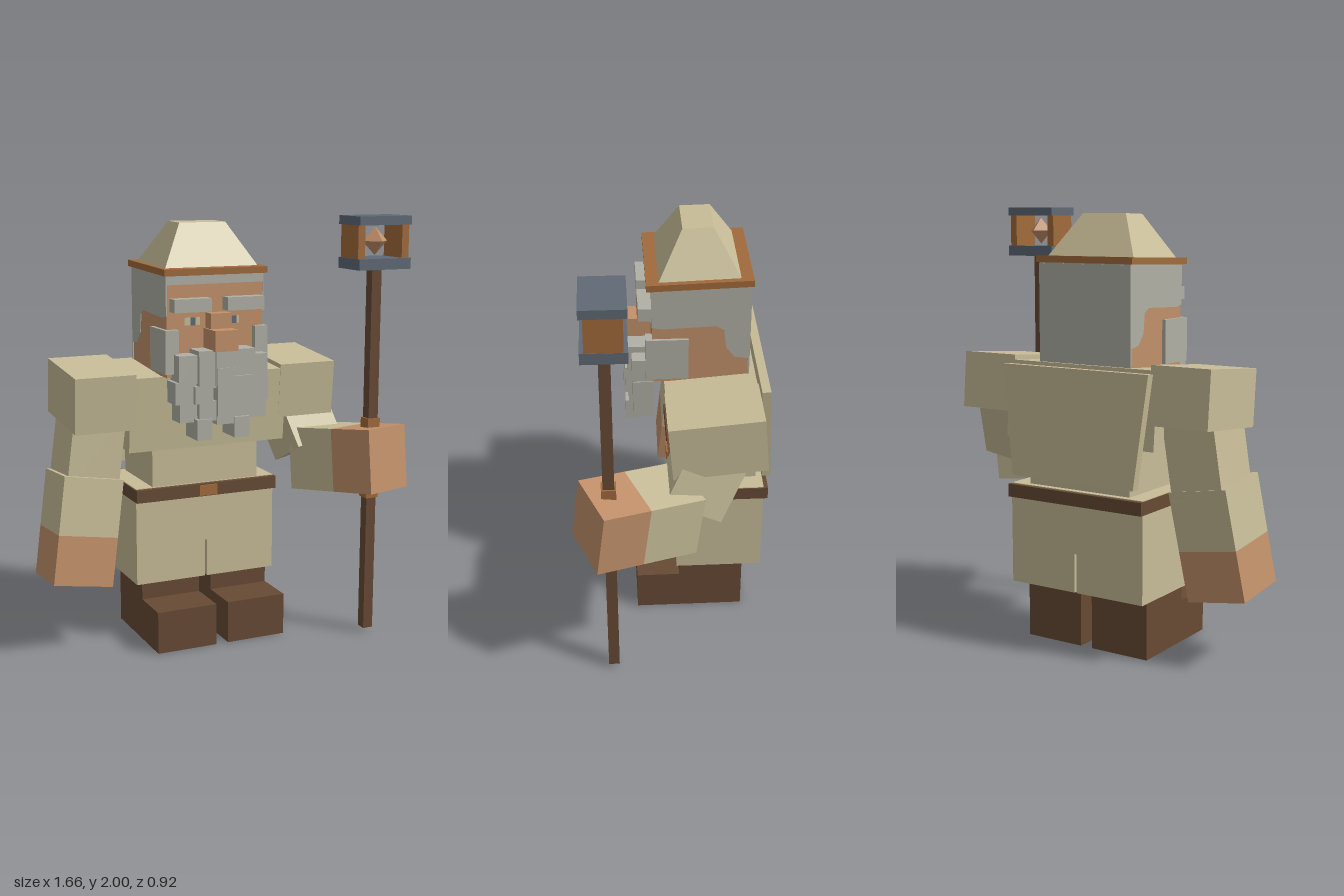
import * as THREE from 'three';

const CX = -0.055; // body's plane of symmetry

export function createModel() {
  const mat = (name, color) => {
    const m = new THREE.MeshStandardMaterial({ color });
    m.name = name;
    return m;
  };
  const cloth = mat('cream cloth', 0xc8bd98);
  const skin = mat('skin', 0xc2916a);
  const hair = mat('grey hair', 0xb0b0a6);
  const leather = mat('dark leather', 0x674a34);
  const copper = mat('orange wood', 0xa26b3c);
  const slate = mat('slate metal', 0x5f6975);

  const model = new THREE.Group();
  model.name = 'staffBearer';

  const add = (name, geo, material, x = 0, y = 0, z = 0, rx = 0) => {
    const m = new THREE.Mesh(geo, material);
    m.name = name;
    m.position.set(x, y, z);
    m.rotation.x = rx;
    model.add(m);
    return m;
  };
  // box from its limits
  const span = (name, material, x0, x1, y0, y1, z0, z1, rx = 0) =>
    add(name, new THREE.BoxGeometry(x1 - x0, y1 - y0, z1 - z0), material,
      (x0 + x1) / 2, (y0 + y1) / 2, (z0 + z1) / 2, rx);
  // box whose top and bottom faces have different sizes
  const frustum = (w0, d0, w1, d1, h) => {
    const g = new THREE.BoxGeometry(1, h, 1).toNonIndexed();
    const p = g.attributes.position;
    for (let i = 0; i < p.count; i++) {
      const top = p.getY(i) > 0;
      p.setX(i, p.getX(i) * (top ? w1 : w0));
      p.setZ(i, p.getZ(i) * (top ? d1 : d0));
    }
    g.computeVertexNormals();
    return g;
  };
  // box running from point a to point b
  const limb = (name, material, a, b, w, d) => {
    const axis = new THREE.Vector3().subVectors(a, b);
    const len = axis.length();
    axis.normalize();
    const side = new THREE.Vector3(1, 0, 0).addScaledVector(axis, -axis.x).normalize();
    const front = new THREE.Vector3().crossVectors(side, axis);
    const m = add(name, new THREE.BoxGeometry(w, len, d), material);
    m.quaternion.setFromRotationMatrix(new THREE.Matrix4().makeBasis(side, axis, front));
    m.position.addVectors(a, b).multiplyScalar(0.5);
  };
  const V = (x, y, z) => new THREE.Vector3(x, y, z);

  // boots, trouser legs and shoulders, mirrored about the body's middle
  for (const s of [-1, 1]) {
    const side = s < 0 ? 'right' : 'left';
    const pair = (name, material, inner, outer, ...rest) => {
      const [a, b] = [CX + s * inner, CX + s * outer].sort((p, q) => p - q);
      return span(side + name, material, a, b, ...rest);
    };
    pair('BootFoot', leather, 0.03, 0.325, 0, 0.2, -0.04, 0.165);
    pair('BootShaft', leather, 0.03, 0.325, 0, 0.28, -0.345, -0.04);
    pair('TrouserLeg', cloth, 0.006, 0.355, 0.28, 0.46, -0.43, -0.025);
    pair('Shoulder', cloth, 0.365, 0.655, 1.056, 1.316, -0.393, 0.022, 0.09);
    pair('Sideburn', hair, 0.19, 0.255, 1.3, 1.5, -0.08, 0.11);
    pair('Eyebrow', hair, 0.04, 0.222, 1.58, 1.64, 0.07, 0.14);
  }

  // hips, belt, torso
  span('hips', cloth, -0.41, 0.3, 0.46, 0.748, -0.43, -0.025);
  span('belt', leather, -0.415, 0.305, 0.685, 0.745, -0.45, 0);
  span('buckle', copper, -0.1, -0.01, 0.69, 0.74, -0.01, 0.008);
  span('waist', cloth, -0.325, 0.215, 0.74, 1.0, -0.4, -0.03);
  span('chest', cloth, -0.45, 0.34, 0.945, 1.295, -0.395, 0.015, 0.08);
  add('cape', frustum(0.65, 0.04, 0.77, 0.04, 0.505), cloth, CX, 1.045, -0.43, 0.05);

  // arms: upper arm, then a forearm that ends in a bare hand
  const arm = (side, shoulder, elbow, foreTop, hand) => {
    const cuff = foreTop.clone().lerp(hand, 0.54);
    limb(side + 'UpperArm', cloth, shoulder, elbow, 0.25, 0.27);
    limb(side + 'Forearm', cloth, foreTop, cuff, 0.285, 0.3);
    limb(side + 'Hand', skin, cuff, hand, 0.285, 0.3);
  };
  arm('right', V(-0.562, 1.12, -0.19), V(-0.615, 0.75, -0.18),
    V(-0.612, 0.81, -0.17), V(-0.69, 0.316, -0.125));
  arm('left', V(0.45, 1.13, -0.195), V(0.515, 0.86, -0.065),
    V(0.515, 0.82, -0.055), V(0.7, 0.875, 0.385));

  // head with hair painted on as thin plates
  const hx0 = -0.292, hx1 = 0.186;
  span('head', skin, hx0, hx1, 1.28, 1.75, -0.345, 0.08);
  span('hairTop', hair, hx0 - 0.004, hx1 + 0.004, 1.7, 1.76, -0.349, 0.084);
  span('hairBack', hair, hx0 - 0.004, hx1 + 0.004, 1.28, 1.75, -0.352, -0.344);
  const hairSide = new THREE.Shape([
    [-0.083, 1.75], [-0.083, 1.56], [-0.04, 1.55], [0.2, 1.56], [0.235, 1.54],
    [0.245, 1.45], [0.285, 1.4], [0.35, 1.39], [0.35, 1.75],
  ].map(([x, y]) => new THREE.Vector2(x, y)));
  for (const x of [hx0 - 0.004, hx1 - 0.002]) {
    const m = add('hairSide', new THREE.ExtrudeGeometry(hairSide,
      { depth: 0.006, bevelEnabled: false }), hair, x);
    m.rotation.y = Math.PI / 2;
  }

  // face
  span('noseBridge', skin, -0.1, 0, 1.49, 1.57, 0.07, 0.14);
  span('noseTip', skin, -0.11, 0.005, 1.405, 1.5, 0.07, 0.21);
  for (const [x0, x1, px] of [[-0.205, -0.13, -0.165], [-0.01, 0.065, 0.04]]) {
    span('eyeWhite', cloth, x0, x1, 1.515, 1.55, 0.077, 0.083);
    span('pupil', slate, px - 0.012, px + 0.012, 1.515, 1.55, 0.079, 0.085);
  }

  // beard of overlapping blocks: x0, x1, y0, y1, front z
  [
    [-0.27, -0.17, 1.26, 1.39, 0.17], [-0.18, -0.09, 1.24, 1.41, 0.19],
    [-0.1, -0.005, 1.25, 1.405, 0.2], [-0.015, 0.1, 1.26, 1.41, 0.19],
    [0.08, 0.17, 1.26, 1.38, 0.17],
    [-0.287, -0.185, 1.17, 1.27, 0.17], [-0.2, -0.11, 1.17, 1.25, 0.19],
    [-0.095, -0.01, 1.11, 1.33, 0.205], [-0.01, 0.085, 1.16, 1.29, 0.2],
    [0.075, 0.175, 1.165, 1.27, 0.17],
    [-0.265, -0.18, 1.085, 1.18, 0.165], [-0.18, -0.09, 1.09, 1.18, 0.19],
    [-0.095, -0.01, 1.07, 1.19, 0.195], [-0.01, 0.08, 1.09, 1.2, 0.185],
    [0.08, 0.165, 1.085, 1.18, 0.165],
    [-0.195, -0.12, 1.005, 1.1, 0.2], [-0.01, 0.065, 1.005, 1.1, 0.2],
  ].forEach(([x0, x1, y0, y1, z]) => span('beardBlock', hair, x0, x1, y0, y1, 0.07, z));

  // hat
  span('hatBrim', copper, -0.31, 0.2, 1.748, 1.778, -0.36, 0.105, 0.03);
  add('hatCrown', frustum(0.46, 0.36, 0.23, 0.135, 0.195), cloth, CX, 1.872, -0.127, 0.02);

  // staff with lantern
  const sx = 0.655, sz = 0.29;
  const onStaff = (name, material, w, y0, y1, d, dx = 0) =>
    span(name, material, sx + dx - w / 2, sx + dx + w / 2, y0, y1, sz - d / 2, sz + d / 2);
  onStaff('staff', leather, 0.05, 0.02, 1.77, 0.05);
  onStaff('staffGrip', copper, 0.065, 0.675, 1.06, 0.065);
  onStaff('lanternBase', slate, 0.27, 1.76, 1.81, 0.19);
  onStaff('lanternRoof', slate, 0.27, 1.96, 2.0, 0.19);
  for (const s of [-1, 1]) onStaff('lanternPanel', copper, 0.036, 1.81, 1.96, 0.155, s * 0.115);
  add('lanternGem', new THREE.OctahedronGeometry(0.065), skin, sx, 1.885, sz);

  return model;
}
